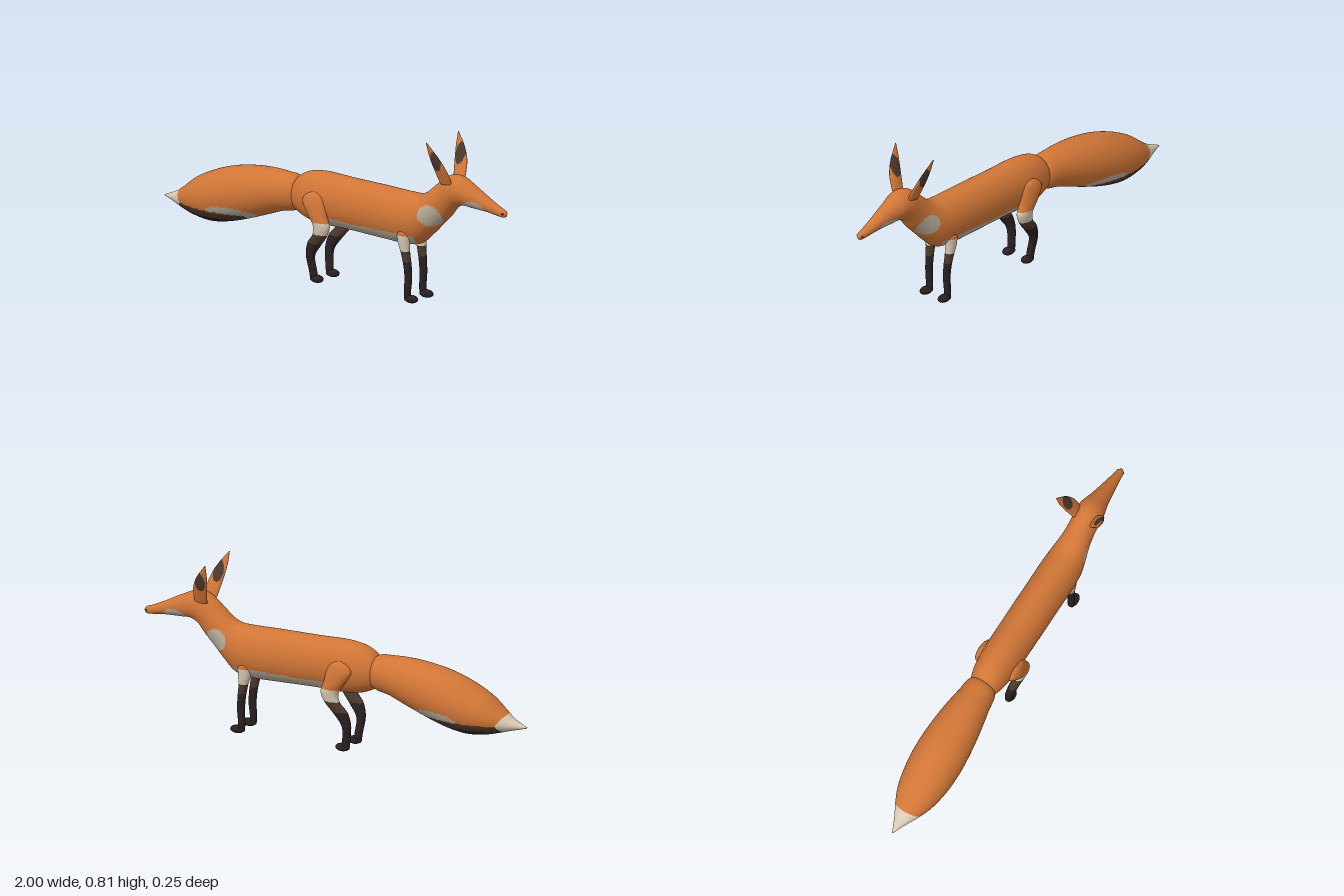
import * as THREE from 'three';

const mat = (name, color) => Object.assign(new THREE.MeshStandardMaterial({ color }), { name });
const MATS = [
  mat('orange fur', 0xd07536),
  mat('cream fur', 0xd8c9b2),
  mat('grey fur', 0xb8ab98),
  mat('brown fur', 0x4c382b),
  mat('black fur', 0x2a1f20),
];
const ORANGE = 0, CREAM = 1, GREY = 2, BROWN = 3, BLACK = 4;

const inOval = (p, x, y, rx, ry) => ((p.x - x) / rx) ** 2 + ((p.y - y) / ry) ** 2 < 1;

// Smooth skin over oval rings. A station is [ax, ay, bx, by, z, halfWidth]:
// a and b are opposite points of the ring in the side plane.
function loft(name, stations, side, rings, segs, colourAt) {
  const a = new THREE.CatmullRomCurve3(stations.map(s => new THREE.Vector3(s[0], s[1], s[4] * side)));
  const b = new THREE.CatmullRomCurve3(stations.map(s => new THREE.Vector3(s[2], s[3], s[5])));
  const pts = [];
  for (let i = 0; i <= rings; i++) {
    const p = a.getPoint(i / rings), q = b.getPoint(i / rings);
    const w = Math.max(q.z, 0.001);
    for (let j = 0; j < segs; j++) {
      const t = j / segs * Math.PI * 2, c = Math.cos(t) / 2;
      pts.push(new THREE.Vector3(
        (p.x + q.x) / 2 + (p.x - q.x) * c,
        (p.y + q.y) / 2 + (p.y - q.y) * c,
        p.z + Math.sin(t) * w));
    }
  }
  // Sort the faces into one group per fur colour
  const buckets = MATS.map(() => []);
  const mid = new THREE.Vector3();
  const face = (i, j, k) => {
    mid.copy(pts[i]).add(pts[j]).add(pts[k]).divideScalar(3);
    buckets[colourAt(mid)].push(i, j, k);
  };
  for (let i = 0; i < rings; i++) {
    for (let j = 0; j < segs; j++) {
      const k = (j + 1) % segs, r = i * segs, n = r + segs;
      face(r + j, r + k, n + j);
      face(r + k, n + k, n + j);
    }
  }
  const geo = new THREE.BufferGeometry().setFromPoints(pts);
  geo.setIndex(buckets.flat());
  let start = 0;
  buckets.forEach((list, m) => {
    if (list.length) geo.addGroup(start, list.length, m);
    start += list.length;
  });
  geo.computeVertexNormals();
  const mesh = new THREE.Mesh(geo, MATS);
  mesh.name = name;
  return mesh;
}

function ball(name, m, x, y, z, rx, ry, rz) {
  const mesh = new THREE.Mesh(new THREE.SphereGeometry(1, 20, 14), MATS[m]);
  mesh.position.set(x, y, z);
  mesh.scale.set(rx, ry, rz);
  mesh.name = name;
  return mesh;
}

// Trunk, neck and head in one skin, rump to nose
const BODY = [
  [-.222, .40, -.222, .39, 0, .005], [-.218, .465, -.218, .325, 0, .06],
  [-.17, .505, -.17, .295, 0, .08], [-.08, .525, -.1, .277, 0, .09],
  [.1, .522, .1, .275, 0, .094], [.3, .52, .28, .27, 0, .094],
  [.44, .517, .42, .268, 0, .094], [.50, .52, .50, .28, 0, .09],
  [.54, .537, .565, .335, 0, .08], [.585, .575, .615, .385, 0, .069],
  [.63, .615, .665, .435, 0, .064], [.68, .643, .71, .49, 0, .065],
  [.73, .644, .75, .508, 0, .062], [.80, .614, .81, .505, 0, .046],
  [.90, .562, .90, .50, 0, .03], [.96, .534, .955, .492, 0, .021],
  [.988, .523, .986, .491, 0, .015], [1, .508, 1, .504, 0, .002],
];
const bodyColour = p => {
  if (inOval(p, .592, .442, .057, .052)) return GREY;
  if (inOval(p, .825, .52, .055, .025)) return GREY;
  if (p.y < .328 && p.x > -.05 && p.x < .5) return GREY;
  return ORANGE;
};

// Tail, tip to root
const TAIL = [
  [-1, .247, -1, .243, 0, .002], [-.92, .282, -.93, .224, 0, .036],
  [-.87, .318, -.87, .206, 0, .066], [-.8, .372, -.8, .187, 0, .095],
  [-.7, .422, -.7, .176, 0, .115], [-.6, .456, -.6, .192, 0, .121],
  [-.5, .476, -.5, .222, 0, .116], [-.4, .486, -.4, .258, 0, .104],
  [-.3, .485, -.3, .295, 0, .086], [-.215, .472, -.21, .32, 0, .067],
  [-.2, .40, -.2, .39, 0, .005],
];
const tailColour = p => {
  if (p.x < -.86 - Math.abs(p.y - .25) * .8) return CREAM;
  if (p.y < .247 && p.x < -.49) return p.y < .212 ? BLACK : BROWN;
  if (inOval(p, -.55, .245, .135, .042)) return GREY;
  return ORANGE;
};

// Legs, top to ankle
const HIND = [
  [-.05, .447, -.07, .447, .085, .004], [-.018, .43, -.107, .43, .085, .021],
  [0, .40, -.125, .40, .088, .028], [.015, .34, -.097, .35, .092, .03],
  [.03, .29, -.06, .29, .092, .028], [.01, .24, -.065, .245, .088, .024],
  [-.03, .19, -.1, .2, .08, .022], [-.07, .13, -.115, .14, .073, .02],
  [-.067, .06, -.105, .055, .062, .018], [-.06, .015, -.1, .015, .06, .017],
];
const FORE = [
  [.45, .37, .44, .37, .066, .004], [.475, .34, .415, .34, .066, .023],
  [.475, .29, .415, .29, .064, .024], [.475, .24, .43, .24, .061, .021],
  [.482, .18, .442, .18, .058, .018], [.485, .12, .447, .12, .057, .016],
  [.478, .05, .445, .05, .058, .017], [.478, .015, .448, .015, .058, .017],
];
const legColour = cuff => p =>
  p.y < .2 ? BLACK : p.y < .25 ? BROWN : p.y < cuff ? CREAM : ORANGE;

// Ear, root to tip
const EAR = [
  [.648, .605, .712, .61, .048, .014], [.64, .645, .71, .65, .064, .014],
  [.629, .70, .70, .695, .085, .012], [.621, .755, .672, .75, .104, .008],
  [.619, .815, .622, .815, .122, .002],
];
const earColour = p => inOval(p, .66, .725, .027, .05) ? BROWN : ORANGE;

export function createModel() {
  const model = new THREE.Group();
  model.name = 'fox';
  model.add(
    loft('body', BODY, 1, 200, 72, bodyColour),
    loft('tail', TAIL, 1, 140, 72, tailColour));
  for (const s of [1, -1]) {
    model.add(
      loft('hindLeg', HIND, s, 90, 32, legColour(.31)),
      loft('foreLeg', FORE, s, 80, 32, legColour(.325)),
      loft('ear', EAR, s, 50, 32, earColour),
      ball('hindPaw', BLACK, -.066, .022, s * .06, .036, .019, .024),
      ball('forePaw', BLACK, .484, .022, s * .058, .036, .019, .024),
      ball('nostril', BLACK, .981, .509, s * .015, .007, .006, .004));
  }
  return model;
}
